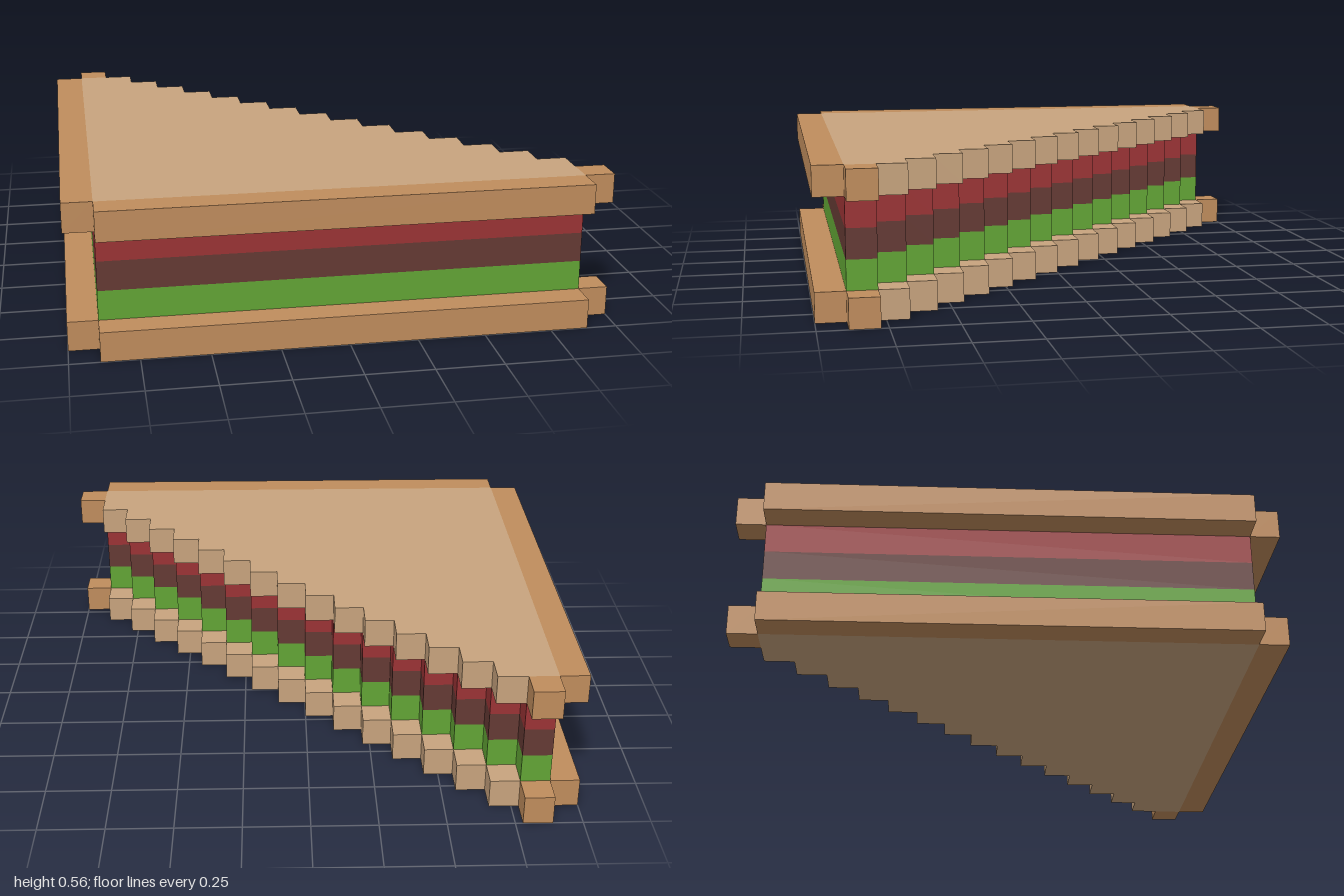
import * as THREE from 'three';

const U = 2 / 18; // one block of the stepped grid

const material = (name, color) => {
  const m = new THREE.MeshStandardMaterial({ color });
  m.name = name;
  return m;
};

// Triangular slab whose diagonal side is a staircase; reach widens each step
function steppedSlab(name, mat, level, reach) {
  const points = [[1, 17], [17, 17]];
  const add = (c, r) => {
    const [pc, pr] = points[points.length - 1];
    if (pc !== c || pr !== r) points.push([c, r]);
  };
  for (let row = 16; row >= 1; row--) {
    const edge = Math.min(row + reach, 17);
    add(edge, row + 1);
    add(edge, row);
  }
  add(1, 1);
  const shape = new THREE.Shape(points.map(([c, r]) => new THREE.Vector2(c * U - 1, 1 - r * U)));
  const geometry = new THREE.ExtrudeGeometry(shape, { depth: U, bevelEnabled: false });
  geometry.rotateX(-Math.PI / 2);
  const mesh = new THREE.Mesh(geometry, mat);
  mesh.name = name;
  mesh.position.y = level * U;
  return mesh;
}

// Crust strip covering a run of columns and rows
function crustStrip(name, mat, level, col, row, cols, rows) {
  const mesh = new THREE.Mesh(new THREE.BoxGeometry(cols * U, U, rows * U), mat);
  mesh.name = name;
  mesh.position.set((col + cols / 2) * U - 1, (level + 0.5) * U, (row + rows / 2) * U - 1);
  return mesh;
}

export function createModel() {
  const crumb = material('crumb', 0xc8a47e);
  const crust = material('crust', 0xc08d5d);
  const lettuce = material('lettuce', 0x62a535);
  const meat = material('meat', 0x653a34);
  const tomato = material('tomato', 0x9b3335);

  const model = new THREE.Group();
  model.name = 'sandwich';

  // Bread slices: crumb plus crust along the straight sides and at the tips
  for (const [name, level] of [['bottomBread', 0], ['topBread', 4]]) {
    const slice = new THREE.Group();
    slice.name = name;
    slice.add(
      steppedSlab('crumb', crumb, level, 2),
      crustStrip('sideCrust', crust, level, 0, 1, 1, 16),
      crustStrip('frontCrust', crust, level, 1, 17, 16, 1),
      crustStrip('backTipCrust', crust, level, 1, 0, 1, 1),
      crustStrip('sideTipCrust', crust, level, 17, 16, 1, 1),
    );
    model.add(slice);
  }

  // Fillings, set one step back from the cut
  model.add(
    steppedSlab('lettuce', lettuce, 1, 1),
    steppedSlab('meat', meat, 2, 1),
    steppedSlab('tomato', tomato, 3, 1),
  );
  return model;
}
